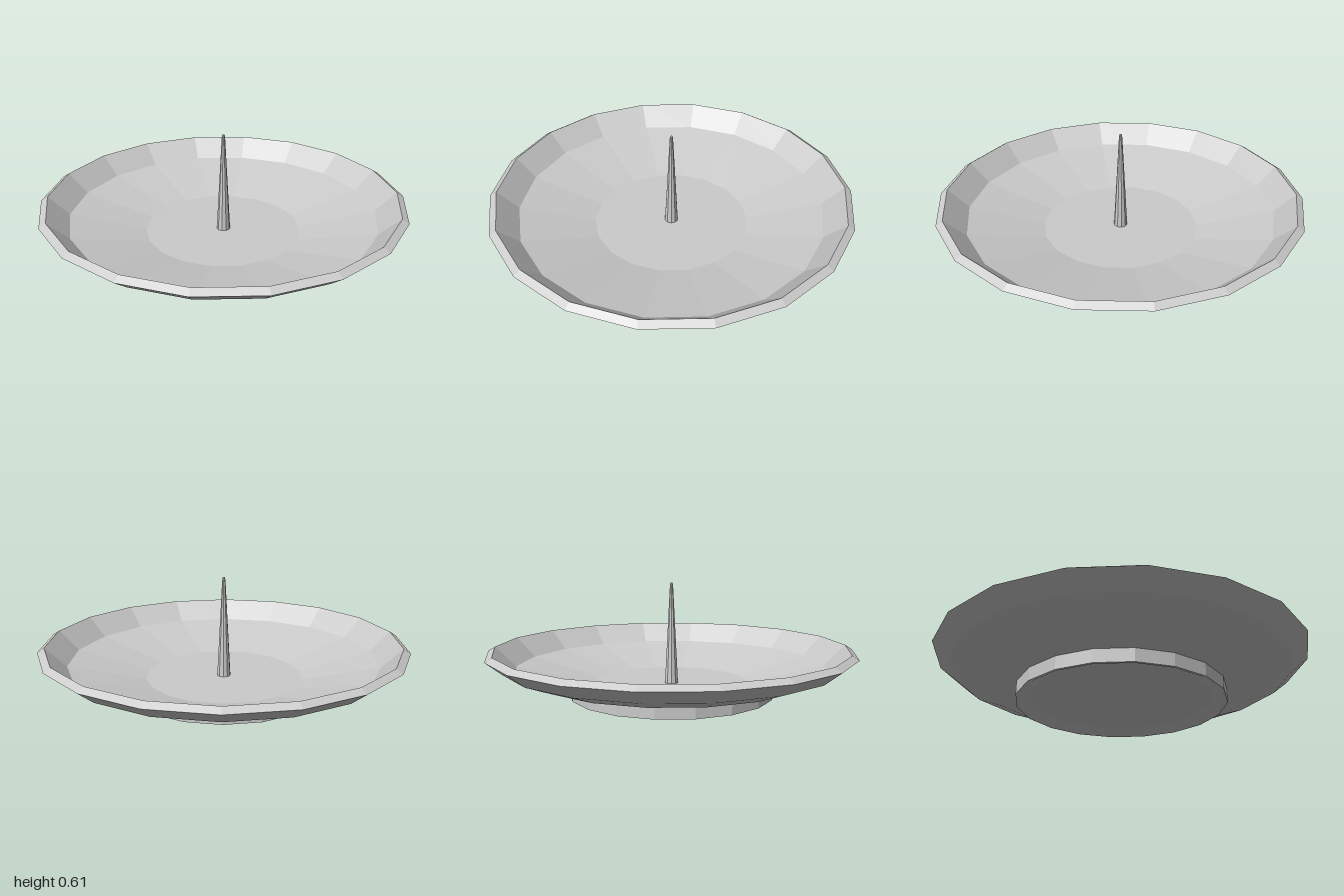
import * as THREE from 'three';

const material = new THREE.MeshStandardMaterial({ color: 0xcccccc, flatShading: true });

// Turned part from [radius, height] pairs, with a corner on the x axis
function turned(name, profile, sides) {
  const points = profile.map(([r, y]) => new THREE.Vector2(r, y));
  const mesh = new THREE.Mesh(new THREE.LatheGeometry(points, sides, Math.PI / 2), material);
  mesh.name = name;
  return mesh;
}

export function createModel() {
  const group = new THREE.Group();
  group.name = 'candleDish';

  // Shallow dish: outer wall, bevelled rim, inner wall and floor
  group.add(turned('dish', [
    [0.56, 0.07], [0.76, 0.11], [0.91, 0.167], [1, 0.238], [0.963, 0.262],
    [0.85, 0.153], [0.43, 0.057], [0, 0.057],
  ], 18));

  // Foot ring with a recessed underside
  group.add(turned('foot', [
    [0, 0.03], [0.48, 0.03], [0.545, 0], [0.56, 0], [0.56, 0.07],
  ], 18));

  // Tapered candle spike with a small blunt tip
  group.add(turned('spike', [
    [0.038, 0.05], [0.009, 0.595], [0.006, 0.61], [0, 0.61],
  ], 10));

  return group;
}
